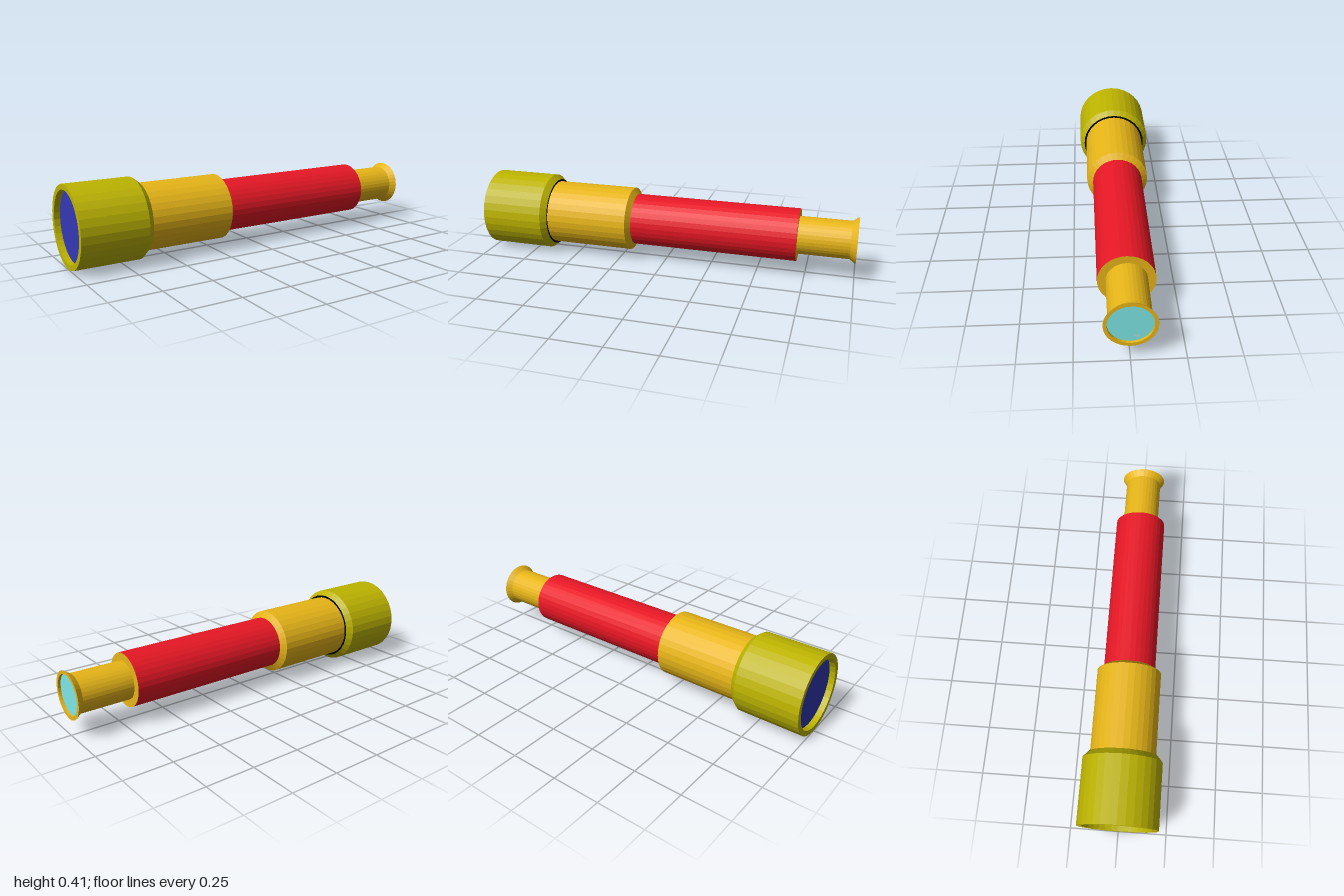
import * as THREE from 'three';

const SIDES = 32;
const AXIS_Y = 0.206; // height of the telescope's axis

export function createModel() {
  const group = new THREE.Group();
  group.name = 'spyglass';

  const mat = (name, color) => {
    const m = new THREE.MeshStandardMaterial({ color });
    m.name = name;
    return m;
  };
  const olive = mat('olive', 0xbdb400);
  const gold = mat('gold', 0xe8b618);
  const red = mat('red', 0xec1826);
  const black = mat('black', 0x000000);
  const teal = mat('teal glass', 0x80e8e8);
  const navy = mat('navy glass', 0x3338b4);
  const pale = mat('pale glint', 0xe4d2d0);

  const add = (name, geometry, material) => {
    const mesh = new THREE.Mesh(geometry, material);
    mesh.name = name;
    mesh.position.y = AXIS_Y;
    group.add(mesh);
  };

  // Faceted turned part along x; profile is a list of [x, radius]
  const turned = (name, profile, material) => {
    const points = profile.map(([x, r]) => new THREE.Vector2(r, x));
    const g = new THREE.LatheGeometry(points, SIDES).rotateZ(-Math.PI / 2).toNonIndexed();
    g.computeVertexNormals();
    add(name, g, material);
  };

  // Flat glass disc facing +x (dir 1) or -x (dir -1)
  const lens = (name, x, r, dir, material) => {
    const g = new THREE.CircleGeometry(r, SIDES).rotateY(dir * Math.PI / 2);
    add(name, g.translate(x, 0, 0), material);
  };

  // Wide front housing with recessed mouth and chamfered shoulder
  turned('objectiveHousing', [[-0.97, 0.179], [-1, 0.179], [-1, 0.206],
    [-0.665, 0.206], [-0.635, 0.181]], olive);
  lens('objectiveLens', -0.97, 0.179, -1, navy);

  // Dark seam closing the housing around the middle tube
  turned('seamRing', [[-0.635, 0.181], [-0.635, 0.168]], black);

  // Middle tube, tapering down onto the red barrel
  turned('middleTube', [[-0.636, 0.17], [-0.192, 0.17], [-0.17, 0.137]], gold);

  // Red barrel and its gold end cap
  turned('barrel', [[-0.175, 0.137], [0.705, 0.137]], red);
  turned('barrelEndCap', [[0.705, 0.137], [0.705, 0.096]], gold);

  // Eyepiece with flared, hollowed rim
  turned('eyepiece', [[0.703, 0.098], [0.968, 0.098], [1, 0.12],
    [1, 0.103], [0.987, 0.103]], gold);
  lens('eyepieceLens', 0.987, 0.103, 1, teal);

  // Small slanted glints on the eyepiece glass
  for (const [z, y] of [[-0.026, -0.069], [-0.033, -0.073]]) {
    const g = new THREE.PlaneGeometry(0.016, 0.005).rotateZ(0.6).rotateY(Math.PI / 2);
    add('lensGlint', g.translate(0.989, y, z), pale);
  }

  return group;
}
